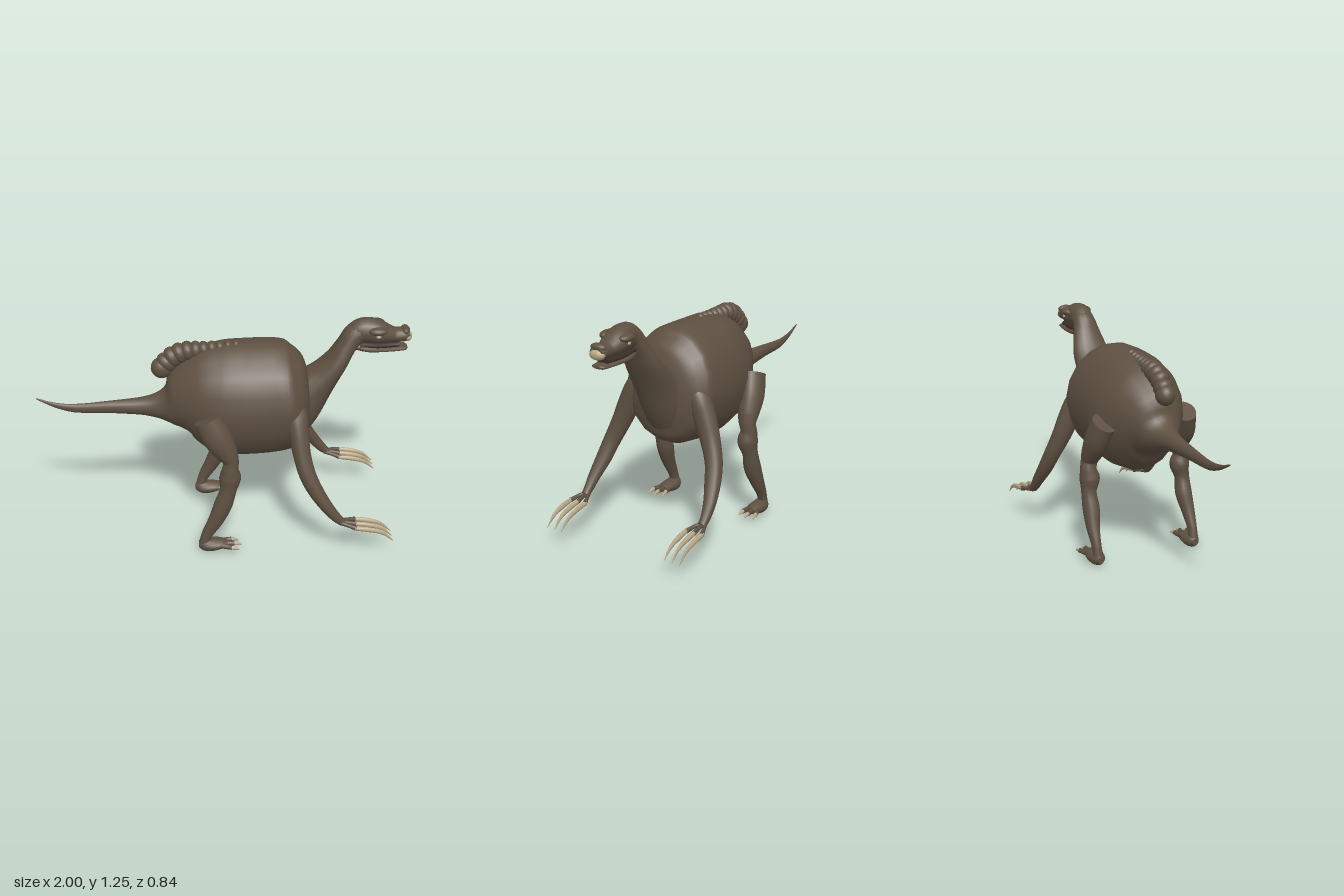
import * as THREE from 'three';

const mat = (name, color) => {
  const m = new THREE.MeshStandardMaterial({ color });
  m.name = name;
  return m;
};

// Smooth skin over rings [x, y, z, half width, half height] along a path
function loft(rings, sides = 16, sub = 4) {
  const path = new THREE.CatmullRomCurve3(rings.map(r => new THREE.Vector3(r[0], r[1], r[2])));
  const radii = new THREE.CatmullRomCurve3(rings.map((r, i) => new THREE.Vector3(r[3], r[4], i)));
  const n = (rings.length - 1) * sub;
  const pos = [], idx = [];
  for (let i = 0; i <= n; i++) {
    const c = path.getPoint(i / n), t = path.getTangent(i / n), r = radii.getPoint(i / n);
    const side = new THREE.Vector3(0, 0, 1).addScaledVector(t, -t.z).normalize();
    const up = t.clone().cross(side);
    for (let j = 0; j < sides; j++) {
      const a = (j / sides) * Math.PI * 2;
      const p = c.clone().addScaledVector(side, Math.max(r.x, 0.001) * Math.cos(a))
        .addScaledVector(up, Math.max(r.y, 0.001) * Math.sin(a));
      pos.push(p.x, p.y, p.z);
      if (i < n) {
        const k = (j + 1) % sides, b = i * sides, d = b + sides;
        idx.push(b + j, b + k, d + j, b + k, d + k, d + j);
      }
    }
  }
  // Flat end caps with their own corners
  for (const end of [0, n]) {
    const base = pos.length / 3, c = path.getPoint(end / n);
    for (let j = 0; j < sides; j++) {
      const o = (end * sides + j) * 3;
      pos.push(pos[o], pos[o + 1], pos[o + 2]);
    }
    pos.push(c.x, c.y, c.z);
    for (let j = 0; j < sides; j++) {
      const k = (j + 1) % sides;
      if (end) idx.push(base + sides, base + j, base + k);
      else idx.push(base + sides, base + k, base + j);
    }
  }
  const g = new THREE.BufferGeometry();
  g.setAttribute('position', new THREE.Float32BufferAttribute(pos, 3));
  g.setIndex(idx);
  g.computeVertexNormals();
  return g;
}

export function createModel() {
  const root = new THREE.Group();
  root.name = 'longClawedDinosaur';
  const hide = mat('brown hide', 0x5e5041);
  const horn = mat('pale horn', 0xb9a785);
  const mouthMat = mat('dark mouth', 0x3a2c25);
  const eyeMat = mat('pale eye', 0xa8a08c);

  const add = (parent, name, geo, material = hide) => {
    const m = new THREE.Mesh(geo, material);
    m.name = name;
    parent.add(m);
    return m;
  };
  const ball = (parent, name, p, s, material = hide) => {
    const m = add(parent, name, new THREE.SphereGeometry(1, 18, 12), material);
    m.position.set(...p);
    m.scale.set(...s);
    return m;
  };

  // Tail and barrel body
  add(root, 'bodyAndTail', loft([
    [-1, 0.81, 0, 0.003, 0.003], [-0.9, 0.768, 0, 0.009, 0.014], [-0.8, 0.747, 0, 0.015, 0.025],
    [-0.6, 0.75, 0, 0.028, 0.036], [-0.43, 0.752, 0, 0.048, 0.05], [-0.34, 0.755, 0, 0.075, 0.075],
    [-0.28, 0.762, 0, 0.115, 0.12], [-0.2, 0.785, 0, 0.17, 0.22], [-0.1, 0.797, 0, 0.225, 0.294],
    [0, 0.797, 0, 0.255, 0.322], [0.12, 0.797, 0, 0.266, 0.328], [0.28, 0.805, 0, 0.266, 0.322],
    [0.37, 0.815, 0, 0.258, 0.298], [0.42, 0.822, 0, 0.21, 0.245], [0.45, 0.825, 0, 0.145, 0.18],
    [0.475, 0.827, 0, 0.03, 0.04],
  ], 18));

  // Neck
  add(root, 'neck', loft([
    [0.36, 0.7, 0, 0.12, 0.15], [0.41, 0.765, 0, 0.125, 0.14], [0.475, 0.845, 0, 0.115, 0.115],
    [0.545, 0.925, 0, 0.11, 0.08], [0.605, 1.005, 0, 0.105, 0.06], [0.655, 1.095, 0, 0.08, 0.053],
    [0.7, 1.16, 0, 0.064, 0.06], [0.76, 1.18, 0, 0.06, 0.055],
  ], 18));

  // Head
  const head = new THREE.Group();
  head.name = 'head';
  root.add(head);
  add(head, 'skull', loft([
    [0.67, 1.17, 0, 0.045, 0.04], [0.72, 1.178, 0, 0.06, 0.064], [0.77, 1.178, 0, 0.066, 0.069],
    [0.82, 1.17, 0, 0.074, 0.062], [0.87, 1.157, 0, 0.062, 0.047], [0.91, 1.15, 0, 0.047, 0.038],
    [0.96, 1.152, 0, 0.046, 0.038], [0.985, 1.157, 0, 0.035, 0.03],
  ], 18));
  add(head, 'lowerJaw', loft([
    [0.7, 1.095, 0, 0.04, 0.024], [0.76, 1.085, 0, 0.062, 0.022], [0.84, 1.079, 0, 0.058, 0.016],
    [0.92, 1.078, 0, 0.048, 0.014], [0.965, 1.079, 0, 0.04, 0.012], [0.977, 1.08, 0, 0.02, 0.006],
  ], 14));
  add(head, 'mouth', loft([
    [0.72, 1.105, 0, 0.05, 0.02], [0.82, 1.1, 0, 0.052, 0.017], [0.93, 1.1, 0, 0.036, 0.015],
  ], 12), mouthMat);
  ball(head, 'beakTip', [0.972, 1.143, 0], [0.028, 0.028, 0.044], horn);
  ball(head, 'noseRidge', [0.962, 1.178, 0], [0.024, 0.02, 0.044]);

  // Segmented hump curling down the back
  const hump = new THREE.Group();
  hump.name = 'backHump';
  root.add(hump);
  const humpPath = new THREE.CatmullRomCurve3([
    [0.07, 1.108], [-0.03, 1.094], [-0.12, 1.084], [-0.2, 1.076], [-0.27, 1.043], [-0.325, 0.982],
  ].map(p => new THREE.Vector3(p[0], p[1], 0)));
  for (let i = 0; i < 11; i++) {
    const t = i / 10, p = humpPath.getPointAt(t), d = humpPath.getTangentAt(t);
    const r = 0.026 + 0.032 * Math.min(1, t * 1.4);
    const seg = ball(hump, 'humpSegment', [p.x, p.y, 0], [i === 10 ? r : r * 0.75, r, Math.min(r, 0.052)]);
    seg.rotation.z = Math.atan2(d.y, d.x);
  }

  for (const s of [1, -1]) {
    const label = s > 0 ? 'right' : 'left';
    const limb = rows => rows.map(r => [r[0], r[1], r[2] * s, r[3], r[4]]);

    // Brow and eye
    ball(head, label + 'Brow', [0.81, 1.196, 0.056 * s], [0.052, 0.022, 0.034]);
    ball(head, label + 'Eye', [0.812, 1.169, 0.07 * s], [0.014, 0.009, 0.01], eyeMat);

    // Arm with three fingers and long claws
    const arm = new THREE.Group();
    arm.name = label + 'Arm';
    root.add(arm);
    add(arm, 'armLimb', loft(limb([
      [0.365, 0.86, 0.15, 0.05, 0.05], [0.378, 0.78, 0.195, 0.062, 0.062],
      [0.39, 0.69, 0.235, 0.062, 0.055], [0.408, 0.58, 0.279, 0.054, 0.048],
      [0.438, 0.48, 0.318, 0.047, 0.045], [0.487, 0.385, 0.342, 0.043, 0.04],
      [0.55, 0.295, 0.362, 0.033, 0.032], [0.6, 0.235, 0.367, 0.025, 0.026],
      [0.63, 0.212, 0.367, 0.022, 0.018],
    ]), 14));
    for (const f of [-1, 0, 1]) {
      const z = 0.365 + f * 0.046;
      add(arm, 'finger', loft(limb([
        [0.61, 0.214, 0.367 + f * 0.008, 0.012, 0.014], [0.655, 0.207, 0.366 + f * 0.03, 0.009, 0.011],
        [0.7, 0.196, z, 0.012, 0.014],
      ]), 8));
      add(arm, 'handClaw', loft(limb([
        [0.69, 0.198, z, 0.011, 0.012], [0.76, 0.188, z, 0.011, 0.015],
        [0.84, 0.164, z, 0.007, 0.011], [0.9, 0.113, z, 0.001, 0.002],
      ]), 8), horn);
    }

    // Leg with short toes and claws
    const leg = new THREE.Group();
    leg.name = label + 'Leg';
    root.add(leg);
    add(leg, 'legLimb', loft(limb([
      [-0.09, 0.797, 0.24, 0.062, 0.078], [-0.04, 0.69, 0.262, 0.062, 0.078],
      [0.012, 0.6, 0.268, 0.056, 0.058], [0.03, 0.555, 0.274, 0.047, 0.042],
      [0.026, 0.51, 0.282, 0.045, 0.045], [0.026, 0.455, 0.275, 0.055, 0.059],
      [0.016, 0.385, 0.285, 0.041, 0.045], [-0.01, 0.295, 0.284, 0.046, 0.05],
      [-0.05, 0.2, 0.292, 0.036, 0.042], [-0.098, 0.11, 0.294, 0.026, 0.031],
      [-0.118, 0.05, 0.292, 0.028, 0.026],
    ]), 16));
    add(leg, 'foot', loft(limb([
      [-0.145, 0.04, 0.29, 0.018, 0.02], [-0.12, 0.04, 0.29, 0.036, 0.036],
      [-0.08, 0.037, 0.29, 0.046, 0.036], [-0.03, 0.041, 0.29, 0.043, 0.029],
      [0.012, 0.041, 0.29, 0.03, 0.016],
    ]), 14));
    for (const f of [-1, 0, 1]) {
      const z = 0.295 + f * 0.04, x = f ? 0.035 : 0.05;
      add(leg, 'toe', loft(limb([
        [-0.03, 0.042, 0.29 + f * 0.022, 0.014, 0.018], [0.01, 0.04, 0.292 + f * 0.034, 0.013, 0.014],
        [x, 0.041, z, 0.013, 0.014],
      ]), 8));
      add(leg, 'toeClaw', loft(limb([
        [x - 0.005, 0.041, z, 0.011, 0.012], [x + 0.02, 0.037, z + f * 0.004, 0.008, 0.009],
        [x + 0.042, 0.028, z + f * 0.007, 0.001, 0.001],
      ]), 8), horn);
    }
  }
  return root;
}
